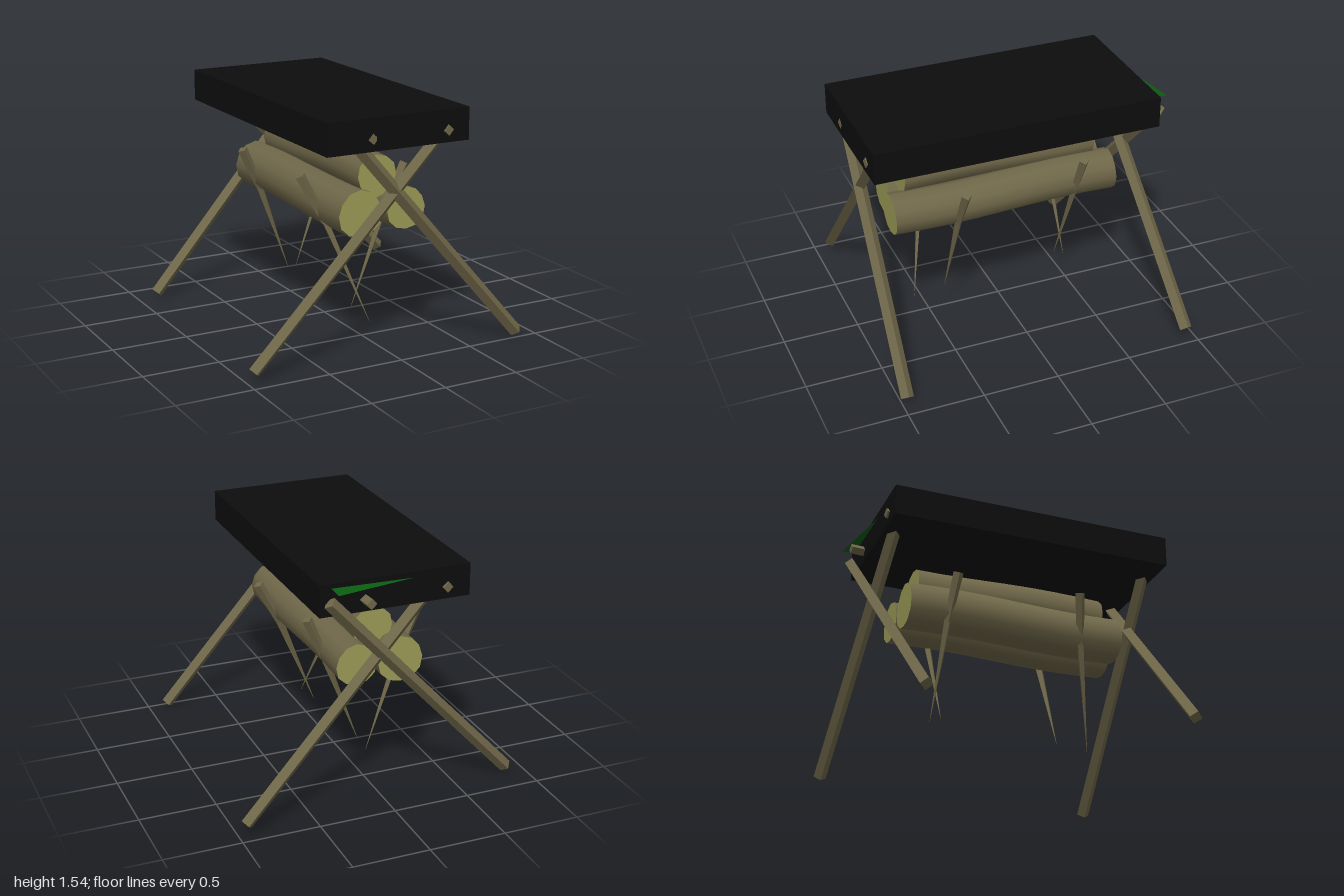
import * as THREE from 'three';

const mat = (name, color, extra = {}) => {
  const m = new THREE.MeshStandardMaterial({ color, ...extra });
  m.name = name;
  return m;
};

export function createModel() {
  const group = new THREE.Group();
  const bark = mat('bark', 0x6f6749);
  const cutWood = mat('cutWood', 0x9a9a55);
  const cloth = mat('blackCover', 0x0d0d0d);
  const leaf = mat('greenLeaf', 0x0b5c10, { side: THREE.DoubleSide });

  const add = (name, geometry, material) => {
    const mesh = new THREE.Mesh(geometry, material);
    mesh.name = name;
    group.add(mesh);
    return mesh;
  };

  // Four-sided stick from point a (radius ra) to point b (radius rb)
  const stick = (name, a, b, ra = 0.042, rb = ra) => {
    const p = new THREE.Vector3(...a), q = new THREE.Vector3(...b);
    const dir = q.clone().sub(p);
    const geo = new THREE.CylinderGeometry(rb, ra, dir.length(), 4).toNonIndexed();
    geo.computeVertexNormals();
    const mesh = add(name, geo, bark);
    mesh.position.copy(p).add(q).multiplyScalar(0.5);
    mesh.quaternion.setFromUnitVectors(new THREE.Vector3(0, 1, 0), dir.normalize());
  };

  // Slab-like cover on top
  add('topCover', new THREE.BoxGeometry(0.975, 0.205, 1.89), cloth)
    .position.set(-0.022, 1.437, 0.035);

  // Crossed leg poles at both ends
  stick('frontLegRight', [-0.95, 0.06, 0.89], [0.3, 1.39, 0.93]);
  stick('frontLegLeft', [0.875, 0.03, 0.96], [-0.28, 1.37, 0.92]);
  stick('backLegRight', [-0.875, 0.04, -0.80], [0.41, 1.43, -0.93]);
  stick('backLegLeft', [0.95, 0.08, -0.93], [-0.3, 1.4, -0.83]);

  // Rails running lengthwise inside the cover, ends poking out
  stick('railLeft', [0.32, 1.41, 0.988], [0.17, 1.41, -0.998], 0.034);
  stick('railRight', [-0.2, 1.41, 0.982], [-0.36, 1.41, -0.925], 0.034);

  // Slightly wavy logs with pale cut ends
  const log = (name, x, y, r, z0, z1, wave, phase) => {
    const geo = new THREE.CylinderGeometry(r, r, z0 - z1, 12, 8);
    geo.rotateX(Math.PI / 2);
    const pos = geo.attributes.position;
    const normals = geo.attributes.normal.clone();
    const mid = (z0 + z1) / 2;
    for (let i = 0; i < pos.count; i++) {
      const px = pos.getX(i), py = pos.getY(i), pz = pos.getZ(i) + mid;
      const s = 1 + 0.03 * Math.sin(3 * Math.atan2(py, px) + phase);
      pos.setXYZ(i, x + px * s, y + py * s + wave * Math.sin(pz * 4 + phase), pz);
    }
    geo.setAttribute('normal', normals);
    add(name, geo, [bark, cutWood, cutWood]);
  };
  log('topLog', 0, 1.1, 0.135, 0.68, -0.62, 0.01, 0.5);
  log('rightLog', -0.148, 0.89, 0.15, 0.74, -0.72, 0.01, 3.0);
  log('leftLog', 0.145, 0.9, 0.135, 0.79, -0.72, 0.012, 3.1);

  // Pointed stakes cradling the logs: top, bend and tip
  const stakes = [
    ['frontLeftStake', [0.385, 1.07, 0.365], [0.235, 0.78, 0.37], [-0.01, 0.16, 0.38]],
    ['backLeftStake', [0.36, 1.13, -0.445], [0.24, 0.85, -0.435], [0, 0.22, -0.41]],
    ['frontRightStake', [-0.385, 1.08, 0.4], [-0.24, 0.78, 0.46], [0, 0.13, 0.6]],
    ['backRightStake', [-0.38, 1.07, -0.44], [-0.24, 0.78, -0.46], [-0.02, 0.18, -0.49]],
  ];
  for (const [name, top, bend, tip] of stakes) {
    stick(name + 'Shaft', bend, top, 0.025, 0.034);
    stick(name + 'Point', bend, tip, 0.026, 0.001);
  }

  // Thin leaf slipping out from the back of the cover
  const leafGeo = new THREE.BufferGeometry();
  leafGeo.setAttribute('position', new THREE.Float32BufferAttribute([
    -0.15, 1.5, -0.908, 0.39, 1.51, -0.908, 0.38, 1.495, -1.0,
  ], 3));
  leafGeo.computeVertexNormals();
  add('leaf', leafGeo, leaf);

  return group;
}
